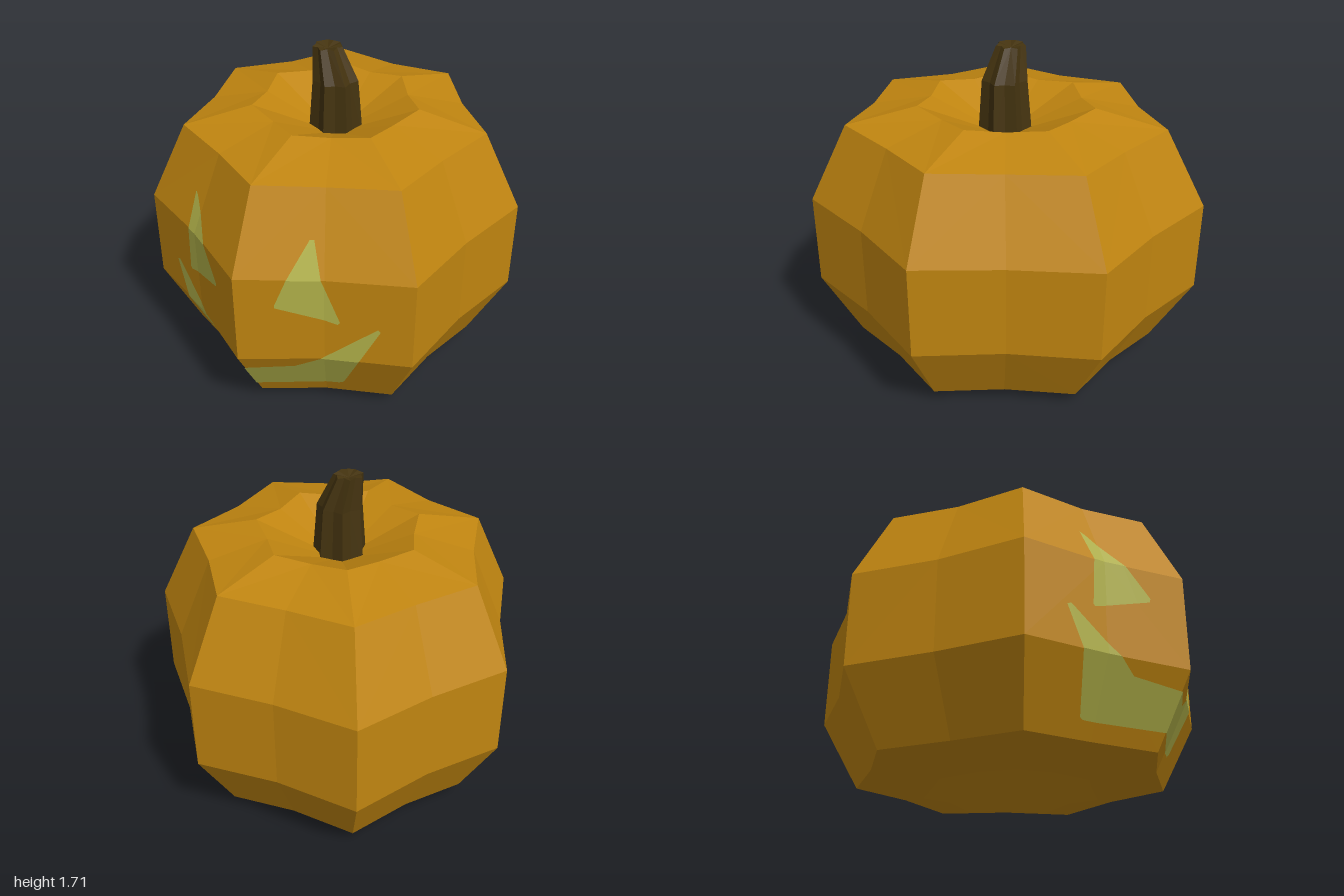
import * as THREE from 'three';

const mat = (name, color) => {
  const m = new THREE.MeshStandardMaterial({ color });
  m.name = name;
  return m;
};

// Flat-faceted geometry from a list of [a, b, c] corner triples
function facets(tris) {
  const g = new THREE.BufferGeometry().setFromPoints(tris.flat());
  g.computeVertexNormals();
  return g;
}

// Triangles joining closed rings, listed from first to last
function loft(rings) {
  const tris = [];
  const add = (a, b, c) => {
    if (new THREE.Triangle(a, b, c).getArea() > 1e-7) tris.push([a, b, c]);
  };
  for (let r = 0; r < rings.length - 1; r++) {
    const A = rings[r], B = rings[r + 1], n = A.length;
    for (let i = 0; i < n; i++) {
      const j = (i + 1) % n;
      // the diagonal always starts on a ridge, so both halves of a lobe match
      if (i % 2 === 0) { add(A[i], A[j], B[j]); add(A[i], B[j], B[i]); }
      else { add(A[i], A[j], B[i]); add(A[j], B[j], B[i]); }
    }
  }
  return tris;
}

// Seven uneven ridges, with a shallow groove between each pair
const RIDGES = [[0, 0.99], [0.78, 0.64], [0.97, -0.23], [0.42, -0.96],
  [-0.44, -1.0], [-0.97, -0.32], [-0.775, 0.57]];
const OUTLINE = RIDGES.flatMap(([x, z], i) => {
  const [u, v] = RIDGES[(i + 1) % 7];
  return [[x, z], [(x + u) / 2 * 0.97, (z + v) / 2 * 0.97]];
});

function bodyTriangles() {
  // scale, ridge height, groove height, z shift
  const rings = [
    [0, 0.19, 0.19, -0.03], [0.445, 0, 0.015, -0.02], [0.8, 0.07, 0.075, 0],
    [1, 0.44, 0.445, 0], [1, 0.93, 0.925, 0], [0.8, 1.335, 1.325, 0],
    [0.445, 1.415, 1.4, -0.02], [0, 1.22, 1.22, -0.03],
  ].map(([s, yr, yg, dz]) => OUTLINE.map(([x, z], i) =>
    new THREE.Vector3(x * s, i % 2 ? yg : yr, z * s + dz)));
  return loft(rings);
}

function stemTriangles() {
  // centre x, centre z, radius, ridge height, groove height
  const rings = [
    [0, -0.035, 0.147, 1.2, 1.2], [0, -0.03, 0.12, 1.53, 1.53],
    [-0.047, -0.033, 0.078, 1.7, 1.705], [-0.047, -0.033, 0, 1.685, 1.685],
  ].map(([cx, cz, rad, yr, yg]) => Array.from({ length: 14 }, (_, i) => {
    const a = i * Math.PI / 7, r = rad * (i % 2 ? 0.8 : 1);
    return new THREE.Vector3(cx + r * Math.sin(a), i % 2 ? yg : yr, cz + r * Math.cos(a));
  }));
  return loft(rings);
}

// Cuts a convex 2D polygon down to the part inside a counterclockwise triangle
function clip(poly, tri) {
  for (let e = 0; e < 3; e++) {
    const a = tri[e], b = tri[(e + 1) % 3], out = [];
    const side = (p) => (b.x - a.x) * (p.y - a.y) - (b.y - a.y) * (p.x - a.x);
    poly.forEach((p, i) => {
      const q = poly[(i + 1) % poly.length], sp = side(p), sq = side(q);
      if (sp >= 0) out.push(p);
      if (sp * sq < 0) out.push(p.clone().lerp(q, sp / (sp - sq)));
    });
    poly = out;
  }
  return poly;
}

// Lays a front-facing 2D outline over the body facets, just proud of them
function decal(points, bodyTris) {
  const pts = points.map(([x, y]) => new THREE.Vector2(x, y));
  if (THREE.ShapeUtils.isClockWise(pts)) pts.reverse();
  const front = bodyTris.filter((t) => t.every((p) => p.z > 0.3 && p.y > 0.05 && p.y < 1.36));
  const tris = [];
  for (const face of THREE.ShapeUtils.triangulateShape(pts, [])) {
    for (const t of front) {
      const plane = new THREE.Plane().setFromCoplanarPoints(...t), n = plane.normal;
      if (n.z < 0.1) continue;
      const lifted = clip(face.map((i) => pts[i]), t).map((p) =>
        new THREE.Vector3(p.x, p.y, 0.005 - (plane.constant + n.x * p.x + n.y * p.y) / n.z));
      for (let i = 1; i < lifted.length - 1; i++) {
        const tri = [lifted[0], lifted[i], lifted[i + 1]];
        if (new THREE.Triangle(...tri).getArea() > 1e-7) tris.push(tri);
      }
    }
  }
  return facets(tris);
}

export function createModel() {
  const orange = mat('pumpkin orange', 0xc08510);
  const brown = mat('stem brown', 0x44330f);
  const glow = mat('pale green glow', 0xb2b24a);

  const group = new THREE.Group();
  group.name = 'carvedPumpkin';
  const add = (name, geometry, material) => {
    const m = new THREE.Mesh(geometry, material);
    m.name = name;
    group.add(m);
  };

  const body = bodyTriangles();
  add('body', facets(body), orange);
  add('stem', facets(stemTriangles()), brown);

  // Carved face
  add('rightEye', decal([[-0.42, 1.11], [-0.4, 1.095], [-0.17, 0.775], [-0.175, 0.755],
    [-0.435, 0.67], [-0.443, 0.68]], body), glow);
  add('leftEye', decal([[0.285, 1.105], [0.303, 1.105], [0.45, 0.685], [0.44, 0.672],
    [0.17, 0.765], [0.172, 0.785]], body), glow);
  add('mouth', decal([[-0.575, 0.645], [-0.555, 0.655], [-0.235, 0.37], [0, 0.34],
    [0.23, 0.365], [0.36, 0.445], [0.62, 0.66], [0.632, 0.645], [0.415, 0.19], [0.39, 0.173],
    [0, 0.155], [-0.38, 0.155], [-0.397, 0.165]], body), glow);
  return group;
}
